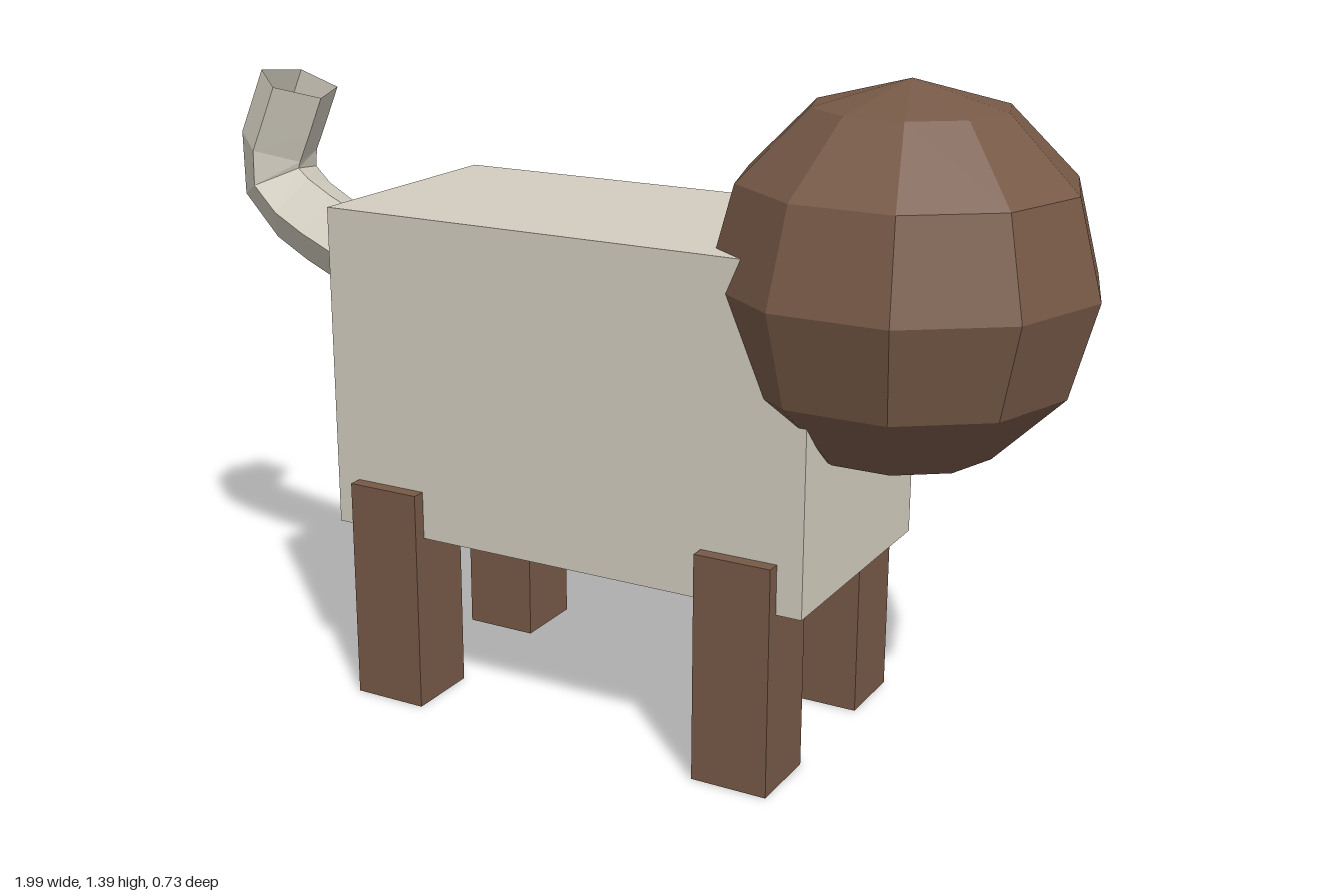
import * as THREE from 'three';

export function createModel() {
  const model = new THREE.Group();
  const cream = new THREE.MeshStandardMaterial({ name: 'cream', color: 0xd2cdbf, flatShading: true, side: THREE.DoubleSide });
  const brown = new THREE.MeshStandardMaterial({ name: 'brown', color: 0x775947, flatShading: true });

  function add(name, geometry, material, x = 0, y = 0, z = 0) {
    const mesh = new THREE.Mesh(geometry, material);
    mesh.name = name;
    mesh.position.set(x, y, z);
    model.add(mesh);
  }

  // Boxy torso, with the animal's nose towards +x
  add('body', new THREE.BoxGeometry(1.1, 0.694, 0.55), cream, -0.01, 0.728, 0);

  // Faceted round head
  add('head', new THREE.SphereGeometry(0.386, 10, 6), brown, 0.613, 1.005, 0);

  // Four legs, slightly proud of the body sides
  const leg = new THREE.BoxGeometry(0.165, 0.485, 0.165);
  for (const [end, x] of [['front', 0.403], ['back', -0.423]]) {
    for (const [side, z] of [['Right', 0.222], ['Left', -0.222]]) {
      add(`${end}Leg${side}`, leg, brown, x, 0.2425, z);
    }
  }

  // Five-sided open tail curling upwards
  const tailPath = new THREE.CatmullRomCurve3([
    new THREE.Vector3(-0.563, 0.86, 0),
    new THREE.Vector3(-0.91, 1.06, 0),
    new THREE.Vector3(-0.84, 1.28, 0),
  ]);
  add('tail', new THREE.TubeGeometry(tailPath, 8, 0.09, 5, false), cream);

  return model;
}
